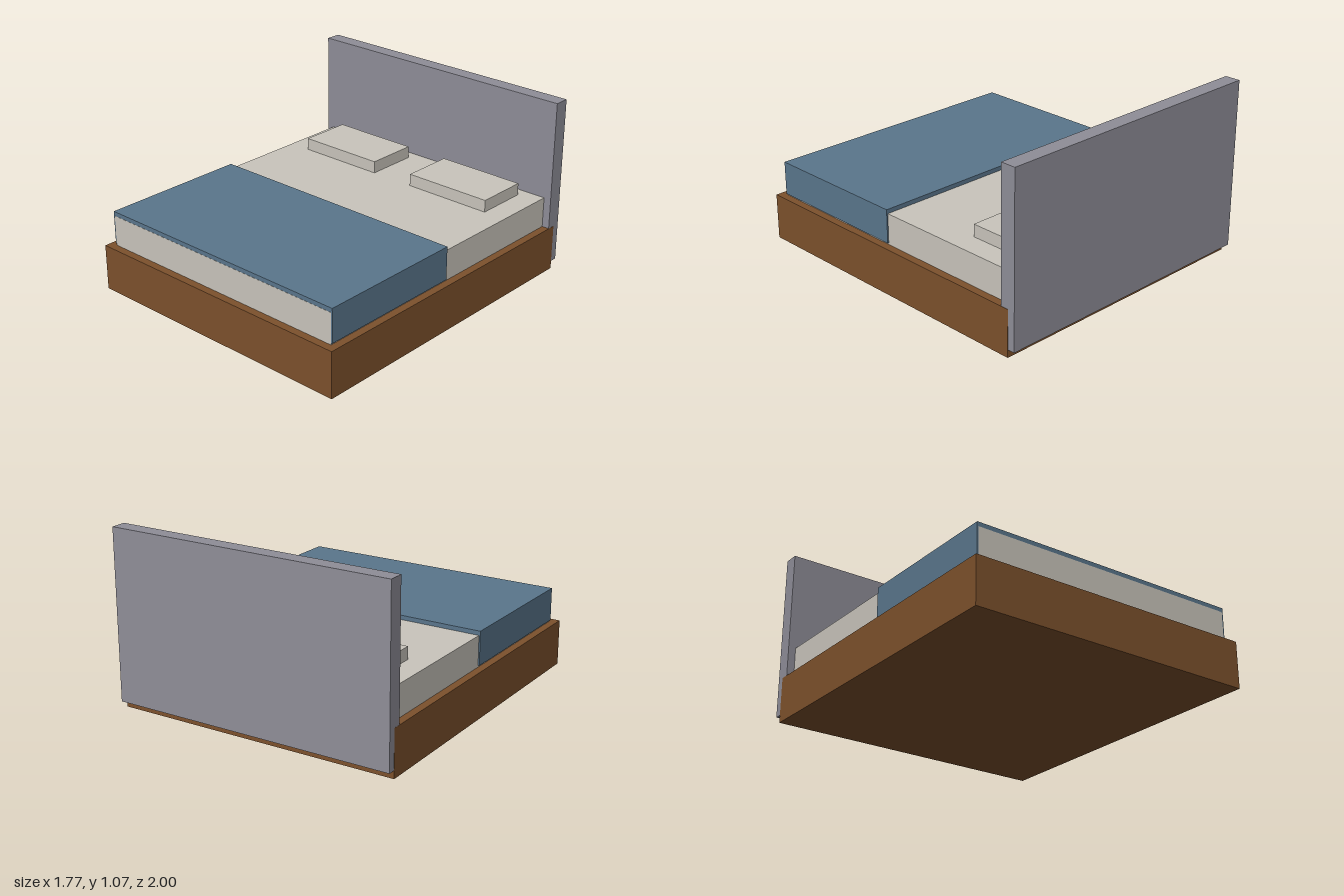
import * as THREE from 'three';

function material(name, color) {
  const m = new THREE.MeshStandardMaterial({ color });
  m.name = name;
  return m;
}

export function createModel() {
  const wood = material('wood', 0x7d512c);
  const upholstery = material('greyUpholstery', 0x8f8e98);
  const linen = material('linen', 0xc9c5bc);
  const blue = material('blueBlanket', 0x5a768c);

  const bed = new THREE.Group();
  bed.name = 'bed';

  // Box given by its extents along each axis
  function box(name, mat, [x0, x1], [y0, y1], [z0, z1]) {
    const mesh = new THREE.Mesh(new THREE.BoxGeometry(x1 - x0, y1 - y0, z1 - z0), mat);
    mesh.position.set((x0 + x1) / 2, (y0 + y1) / 2, (z0 + z1) / 2);
    mesh.name = name;
    bed.add(mesh);
  }

  // Solid base and the headboard set into its back edge
  box('base', wood, [-0.885, 0.885], [0, 0.28], [-0.955, 1]);
  box('headboard', upholstery, [-0.884, 0.884], [0.047, 1.07], [-1, -0.906]);

  // Mattress, with its end just proud of the blanket
  box('mattress', linen, [-0.838, 0.838], [0.275, 0.467], [-0.91, 0.953]);
  box('blanket', blue, [-0.846, 0.846], [0.29, 0.493], [0.024, 0.952]);

  // Pair of pillows
  for (const side of [-1, 1]) {
    const x = side * 0.419;
    box(side > 0 ? 'leftPillow' : 'rightPillow', linen,
      [x - 0.279, x + 0.279], [0.455, 0.541], [-0.837, -0.511]);
  }

  return bed;
}
